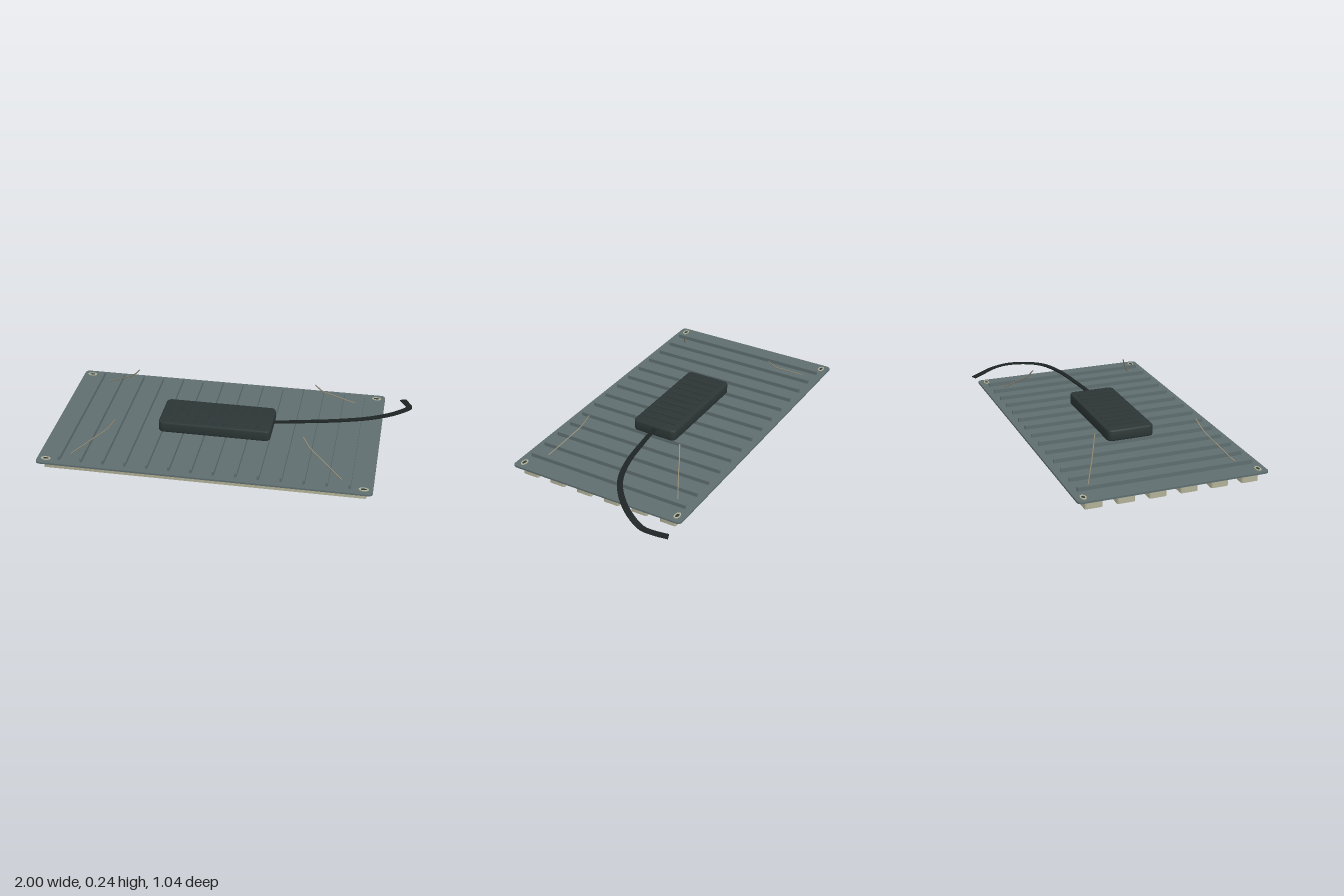
import * as THREE from 'three';
import { toCreasedNormals } from 'three/addons/utils/BufferGeometryUtils.js';

const material = (name, color, side = THREE.FrontSide) => {
  const m = new THREE.MeshStandardMaterial({ color, side });
  m.name = name;
  return m;
};

const CX = -0.0825; // centre of the panel; the cable fills the rest of the width

function roundedRect(w, d, r) {
  const x = w / 2, y = d / 2, s = new THREE.Shape();
  s.moveTo(-x + r, -y);
  s.lineTo(x - r, -y).absarc(x - r, -y + r, r, -Math.PI / 2, 0);
  s.lineTo(x, y - r).absarc(x - r, y - r, r, 0, Math.PI / 2);
  s.lineTo(-x + r, y).absarc(-x + r, y - r, r, Math.PI / 2, Math.PI);
  s.lineTo(-x, -y + r).absarc(-x + r, -y + r, r, Math.PI, Math.PI * 1.5);
  return s;
}

// Upright slab with rounded vertical corners, standing on y = 0
function slab(shape, h, bevel = 0) {
  const g = new THREE.ExtrudeGeometry(shape, {
    depth: h - 2 * bevel, curveSegments: 6, bevelEnabled: bevel > 0,
    bevelSize: bevel, bevelThickness: bevel, bevelOffset: -bevel, bevelSegments: 3,
  });
  g.translate(0, 0, bevel);
  g.rotateX(-Math.PI / 2);
  return toCreasedNormals(g, 0.7);
}

// Flat strip swept along a curve, kept level, with a width that may change
function ribbon(curve, n, width, thick) {
  const pos = [], index = [], up = new THREE.Vector3(0, 1, 0);
  for (let i = 0; i <= n; i++) {
    const t = i / n, p = curve.getPointAt(t), tan = curve.getTangentAt(t);
    const side = tan.clone().cross(up).normalize();
    const top = side.clone().cross(tan).normalize();
    for (const [a, b] of [[-1, -1], [1, -1], [1, 1], [-1, 1]]) {
      const v = p.clone().addScaledVector(side, a * width(t) / 2).addScaledVector(top, b * thick / 2);
      pos.push(v.x, v.y, v.z);
    }
    if (i < n) for (let k = 0; k < 4; k++) {
      const a = i * 4 + k, b = i * 4 + (k + 1) % 4;
      index.push(a, b, a + 4, b, b + 4, a + 4);
    }
  }
  const e = n * 4;
  index.push(0, 2, 1, 0, 3, 2, e, e + 1, e + 2, e, e + 2, e + 3);
  const g = new THREE.BufferGeometry();
  g.setAttribute('position', new THREE.Float32BufferAttribute(pos, 3));
  g.setIndex(index);
  return toCreasedNormals(g, 0.7);
}

export function createModel() {
  const slate = material('slate panel', 0x5f6e70);
  const black = material('black casing', 0x2c3535);
  const cream = material('cream bars', 0xb2b298);
  const olive = material('diode olive', 0x96967e);
  const cableBlack = material('cable black', 0x1e2424, THREE.DoubleSide);
  const wireTan = material('wire tan', 0x8f8873);

  const model = new THREE.Group();
  model.name = 'lightPanel';
  const add = (name, geo, mat, x = 0, y = 0, z = 0) => {
    const m = new THREE.Mesh(geo, mat);
    m.name = name;
    m.position.set(x, y, z);
    model.add(m);
    return m;
  };

  // Backing panel
  add('panel', slab(roundedRect(1.835, 1.036, 0.025), 0.01), slate, CX, 0.054, 0);

  // Cooling fins across the panel
  const finGeo = new THREE.BoxGeometry(0.012, 0.023, 0.96);
  for (let i = 0; i < 14; i++) add('fin', finGeo, slate, -0.875 + i * 0.122, 0.0745, 0);

  // Light bars underneath, each with a row of diodes
  const barGeo = slab(roundedRect(1.768, 0.095, 0.01), 0.05);
  const diodeGeo = new THREE.BoxGeometry(0.036, 0.005, 0.034);
  for (let i = 0; i < 6; i++) {
    const z = (i - 2.5) * 0.17;
    add('lightBar', barGeo, cream, CX, 0.005, z);
    for (let k = 0; k < 24; k++) add('diode', diodeGeo, olive, CX + (k - 11.5) * 0.072, 0.0025, z);
  }

  // Power supply with a ribbed lid
  add('powerSupply', slab(roundedRect(0.635, 0.266, 0.03), 0.063, 0.008), black, CX, 0.085, 0);
  const ribGeo = new THREE.BoxGeometry(0.026, 0.004, 0.2);
  for (let i = 0; i < 9; i++) add('supplyRib', ribGeo, black, CX + (i - 4) * 0.06, 0.149, 0);

  // Oval eyelets and hanging wires, mirrored to the four corners
  const oval = new THREE.Shape().absellipse(0, 0, 0.027, 0.016, 0, Math.PI * 2);
  oval.holes.push(new THREE.Path().absellipse(0, 0, 0.017, 0.009, 0, Math.PI * 2));
  const ringGeo = slab(oval, 0.004);
  const coreGeo = slab(new THREE.Shape().absellipse(0, 0, 0.017, 0.009, 0, Math.PI * 2), 0.002);
  for (const sx of [-1, 1]) for (const sz of [-1, 1]) {
    const ex = CX + sx * 0.868, ez = sz * 0.475;
    add('eyelet', ringGeo, cream, ex, 0.064, ez);
    add('eyeletCore', coreGeo, black, ex, 0.064, ez);
    const path = new THREE.CatmullRomCurve3([
      [0.745, 0.066, 0.405], [0.69, 0.1, 0.375], [0.625, 0.142, 0.34], [0.565, 0.18, 0.31], [0.518, 0.235, 0.284],
    ].map(([x, y, z]) => new THREE.Vector3(CX + sx * x, y, sz * z)));
    add('hangingWire', new THREE.TubeGeometry(path, 24, 0.0035, 6), wireTan);
  }

  // Flat power cable curling away to the back left corner
  const cablePath = new THREE.CatmullRomCurve3([
    [0.225, 0.13, -0.005], [0.4, 0.137, -0.03], [0.6, 0.144, -0.065], [0.76, 0.142, -0.12],
    [0.87, 0.128, -0.2], [0.95, 0.106, -0.3], [0.98, 0.08, -0.385], [0.965, 0.063, -0.45], [0.94, 0.05, -0.515],
  ].map((p) => new THREE.Vector3(...p)));
  add('powerCable', ribbon(cablePath, 60, (t) => 0.024 + 0.012 * t, 0.006), cableBlack);

  return model;
}
